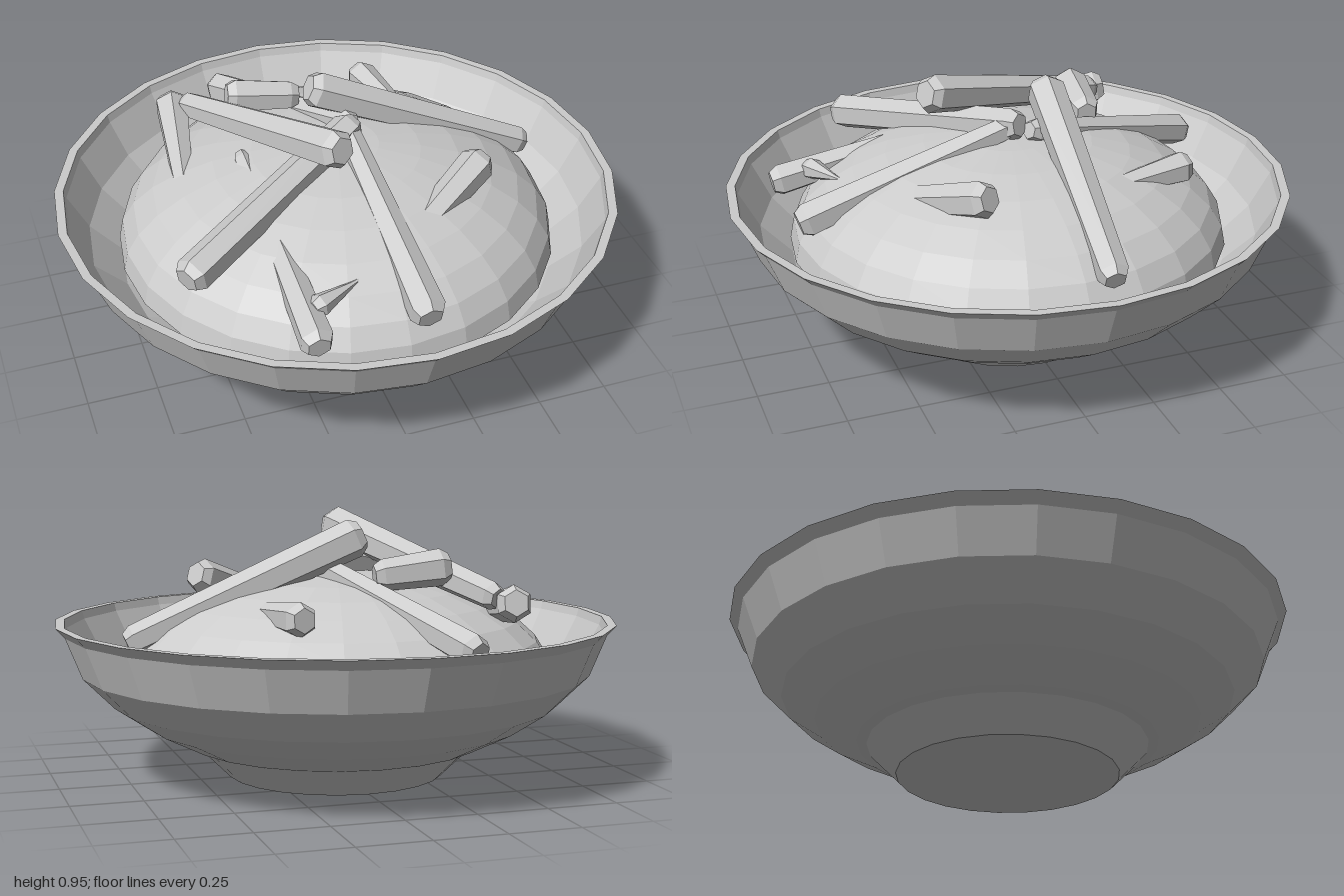
import * as THREE from 'three';

const SIDES = 24;
const material = new THREE.MeshStandardMaterial({ color: 0xcccccc, flatShading: true });

function lathe(points, segments) {
  return new THREE.LatheGeometry(points.map(([r, y]) => new THREE.Vector2(r, y)), segments);
}

// Tapered six-sided stick with bevelled ends, running from a (radius ra) to b (radius rb)
function stick(a, b, ra, rb) {
  const start = new THREE.Vector3(...a);
  const dir = new THREE.Vector3(...b).sub(start);
  const len = dir.length();
  const bevel = Math.min(0.03, len * 0.2);
  const geometry = lathe([
    [0, 0], [ra * 0.7, 0], [ra, bevel],
    [rb, len - bevel], [rb * 0.7, len], [0, len],
  ], 6);
  const mesh = new THREE.Mesh(geometry, material);
  // Local y follows the stick, local x stays level
  const y = dir.normalize();
  const x = new THREE.Vector3().crossVectors(y, new THREE.Vector3(0, 1, 0)).normalize();
  const z = new THREE.Vector3().crossVectors(x, y);
  mesh.quaternion.setFromRotationMatrix(new THREE.Matrix4().makeBasis(x, y, z));
  mesh.position.copy(start);
  return mesh;
}

export function createModel() {
  const model = new THREE.Group();

  // Bowl: foot, rounded wall, flared rim, then down the inside
  const bowl = new THREE.Mesh(lathe([
    [0, 0], [0.39, 0], [0.495, 0.105], [0.53, 0.115], [0.68, 0.19],
    [0.8, 0.27], [0.91, 0.38], [0.968, 0.525], [1, 0.56],
    [0.968, 0.56], [0.96, 0.53], [0.89, 0.4], [0.78, 0.29],
    [0.5, 0.15], [0, 0.12],
  ], SIDES), material);
  bowl.name = 'bowl';
  model.add(bowl);

  // Domed heap of food filling the bowl
  const mound = new THREE.Mesh(
    new THREE.SphereGeometry(0.785, SIDES, 8, 0, Math.PI * 2, 0, Math.PI / 2), material);
  mound.scale.y = 0.38 / 0.785;
  mound.position.y = 0.35;
  mound.name = 'mound';
  model.add(mound);

  // Sticks scattered over the heap: start, end, start radius, end radius
  const sticks = new THREE.Group();
  sticks.name = 'sticks';
  [
    [[-0.05, 0.87, -0.155], [0.77, 0.51, -0.085], 0.07, 0.055],
    [[-0.66, 0.62, 0.45], [0.07, 0.78, -0.02], 0.065, 0.06],
    [[-0.07, 0.885, 0.28], [-0.42, 0.67, -0.5], 0.07, 0.05],
    [[-0.46, 0.66, -0.56], [-0.54, 0.57, -0.03], 0.065, 0.035],
    [[-0.3, 0.77, -0.35], [-0.04, 0.74, -0.32], 0.065, 0.055],
    [[-0.23, 0.53, -0.8], [0.08, 0.76, -0.05], 0.06, 0.045],
    [[0.06, 0.53, 0.78], [0.04, 0.77, 0], 0.065, 0.045],
    [[0.46, 0.71, 0.23], [0.08, 0.57, 0.46], 0.065, 0.05],
    [[-0.32, 0.52, 0.79], [-0.32, 0.68, -0.1], 0.06, 0.035],
    [[0.28, 0.63, -0.57], [0.36, 0.62, -0.18], 0.06, 0.03],
    [[-0.3, 0.57, 0.66], [-0.12, 0.585, 0.585], 0.04, 0.01],
  ].forEach((args, i) => {
    const mesh = stick(...args);
    mesh.name = `stick${i + 1}`;
    sticks.add(mesh);
  });
  model.add(sticks);

  return model;
}
